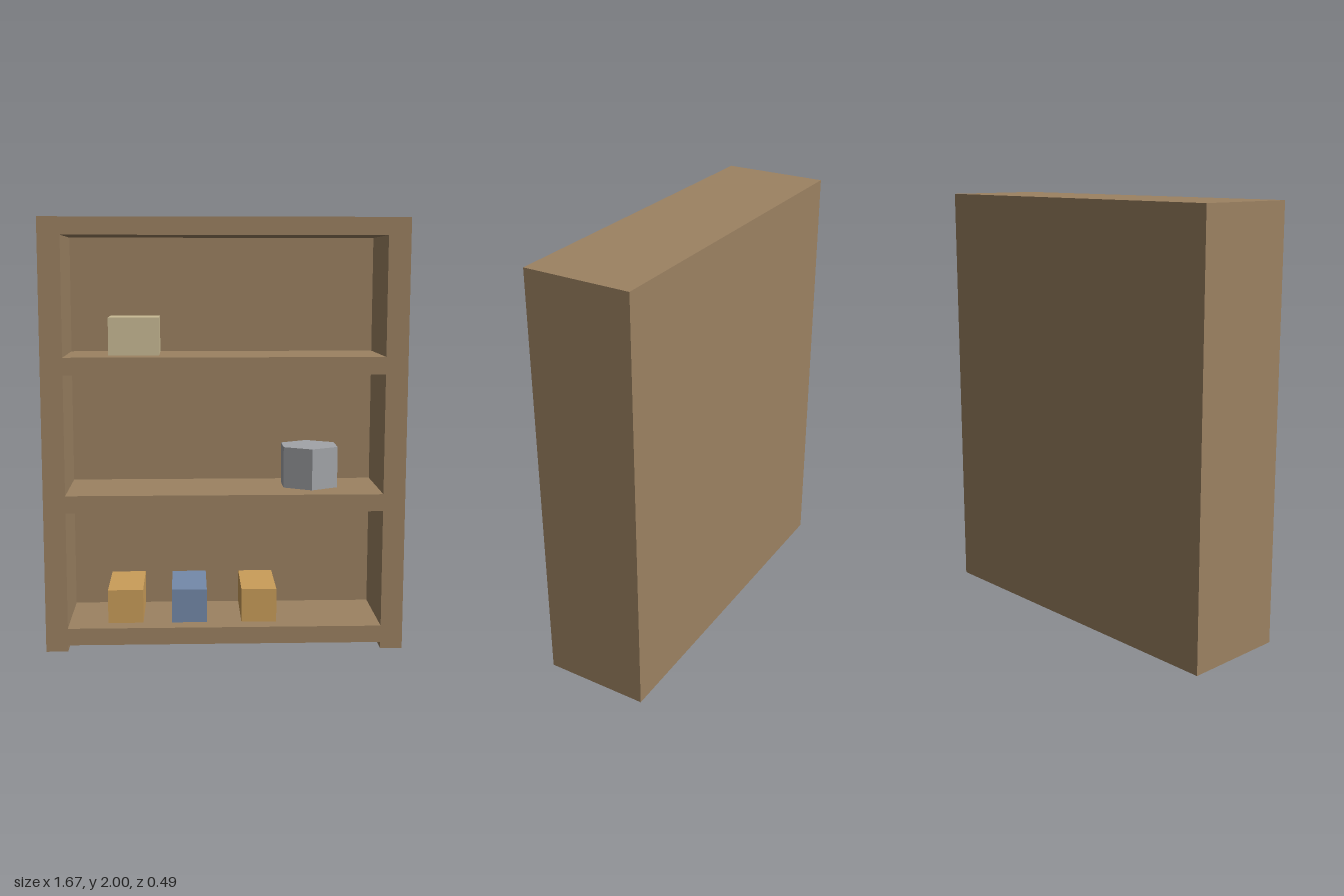
import * as THREE from 'three';

const W = 0.835, H = 2, D = 0.247;   // half width, height, half depth
const INNER = 0.733;                 // half width of the openings
const BACK = 0.082;                  // back panel thickness
const SHELF_UNDER = 0.03;            // underside of the lowest shelf

const material = (name, color) => {
  const m = new THREE.MeshStandardMaterial({ color });
  m.name = name;
  return m;
};

export function createModel() {
  const wood = material('brown wood', 0x9c8262);
  const cream = material('cream', 0xc9bb95);
  const grey = material('grey', 0xa2a4a8);
  const orange = material('orange', 0xca9d59);
  const blue = material('blue', 0x748aaa);

  const group = new THREE.Group();
  group.name = 'bookcase';

  const add = (name, geometry, mat, x, y, z) => {
    const mesh = new THREE.Mesh(geometry, mat);
    mesh.name = name;
    mesh.position.set(x, y, z);
    group.add(mesh);
  };

  // Frame: outline with a toe notch below, and one hole per compartment
  const outline = new THREE.Shape([
    [-W, 0], [-INNER, 0], [-INNER, SHELF_UNDER], [INNER, SHELF_UNDER],
    [INNER, 0], [W, 0], [W, H], [-W, H],
  ].map(([x, y]) => new THREE.Vector2(x, y)));
  for (const [y0, y1] of [[0.11, 0.66], [0.74, 1.295], [1.375, 1.92]]) {
    outline.holes.push(new THREE.Path([
      [-INNER, y0], [-INNER, y1], [INNER, y1], [INNER, y0],
    ].map(([x, y]) => new THREE.Vector2(x, y))));
  }
  const frame = new THREE.ExtrudeGeometry(outline, { depth: 2 * D - BACK, bevelEnabled: false });
  add('shelfFrame', frame, wood, 0, 0, -D + BACK);

  // Back panel
  add('backPanel', new THREE.BoxGeometry(2 * W, H, BACK), wood, 0, H / 2, -D + BACK / 2);

  // Box on the top shelf
  add('topShelfBox', new THREE.BoxGeometry(0.235, 0.175, 0.235), cream, -0.418, 1.4625, 0);

  // Six-sided pot on the middle shelf
  const pot = new THREE.CylinderGeometry(0.148, 0.148, 0.195, 6).toNonIndexed();
  pot.computeVertexNormals();
  add('hexagonalPot', pot, grey, 0.413, 0.8375, 0);

  // Row of boxes on the bottom shelf
  [[-0.467, orange], [-0.166, blue], [0.164, orange]].forEach(([x, mat], i) =>
    add(`bottomShelfBox${i + 1}`, new THREE.BoxGeometry(0.166, 0.16, 0.33), mat, x, 0.19, 0.002));

  return group;
}
